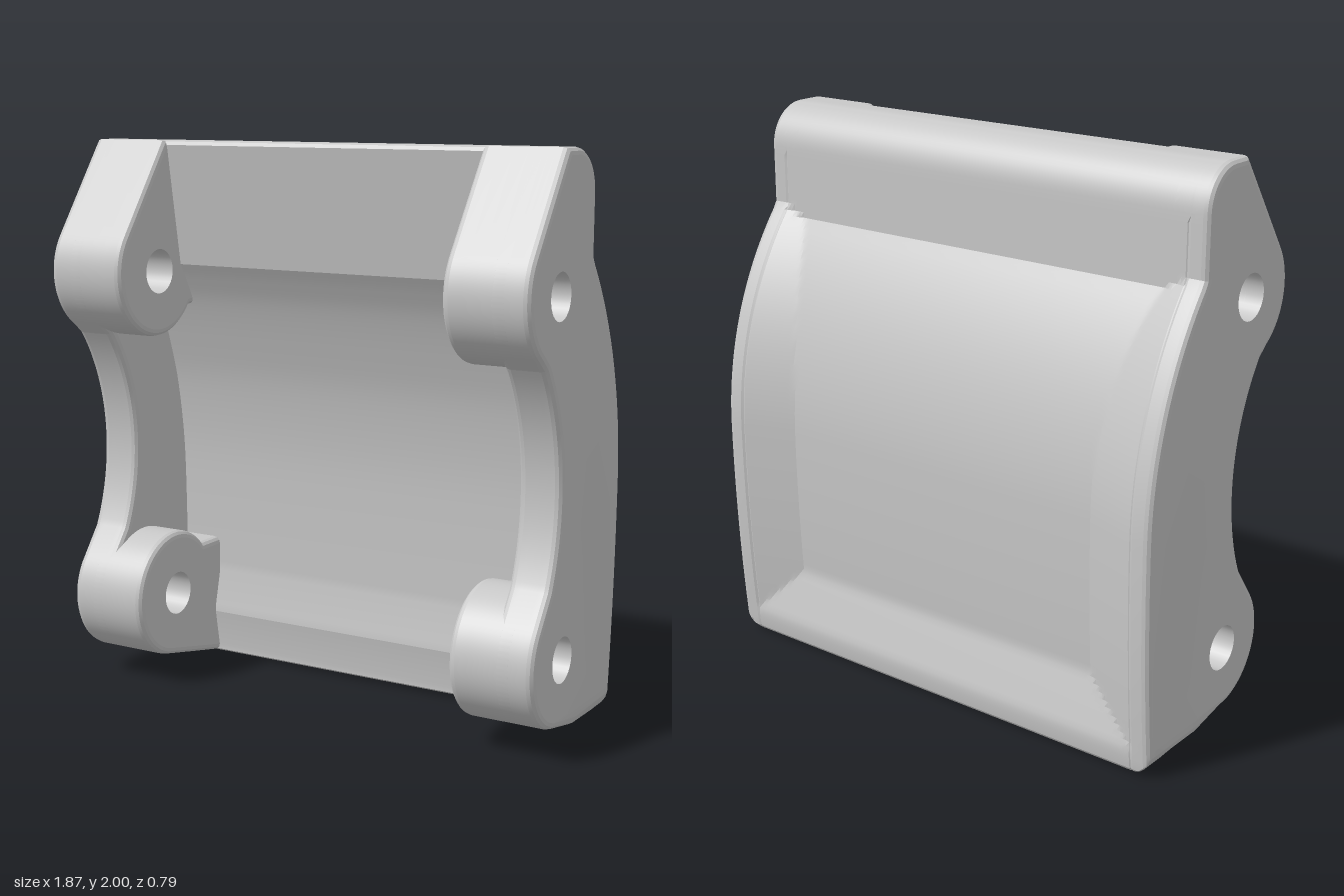
import * as THREE from 'three';
import { toCreasedNormals } from 'three/addons/utils/BufferGeometryUtils.js';

// Pin holes as [z, y]
const HOLES = [[0.165, 1.535], [0.085, 0.315]];
const HOLE_R = 0.08, LUG_R = 0.235;

// Forward-opening arc about y = 0.85: z as a function of y
const bow = (cz, r, y) => cz - Math.sqrt(r * r - (y - 0.85) ** 2);

// Rear outline of the side cheeks: z as a function of y
function outerBack(y) {
  if (y > 1.85) return 0.04 - Math.sqrt(Math.max(0, 0.0225 - (y - 1.85) ** 2));
  if (y > 0.85) return Math.min(-0.11, bow(0.86, 1.25, y));
  const z = -0.39 + 0.045 * ((0.85 - y) / 0.85) ** 2;
  return y < 0.03 ? z + 0.03 - Math.sqrt(0.0009 - (0.03 - y) ** 2) : z;
}

// Rear outline of the dished middle
function centreBack(y) {
  if (y > 1.64) return outerBack(y);
  if (y > 0.85) return Math.min(-0.11, bow(1.12, 1.44, y));
  return outerBack(y) + 0.07 * THREE.MathUtils.clamp((y - 0.09) / 0.2, 0, 1);
}

// Rear surface: the dish, walled in by slopes rising to the cheeks
function backAt(x, y) {
  const wall = Math.max(0, 0.87 - Math.abs(x)) / 3;
  return Math.min(centreBack(y), outerBack(y) + wall);
}

// Points on a circle, angles in degrees
function arc([z, y], r, a0, a1, n = 24) {
  return Array.from({ length: n + 1 }, (_, i) => {
    const a = THREE.MathUtils.degToRad(a0 + (a1 - a0) * i / n);
    return [z + r * Math.cos(a), y + r * Math.sin(a)];
  });
}

// Rear outline points from the bottom to the top
function backPoints() {
  const pts = [[outerBack(0), 0], [outerBack(0.01), 0.01]];
  for (let i = 1; i < 92; i++) {
    const y = i === 82 ? 1.645 : i * 0.02;
    pts.push([outerBack(y), y]);
  }
  return [...pts, ...arc([0.04, 1.85], 0.15, 180, 90, 14)];
}

// Extrudes a [z, y] outline between x0 and x1, then trims it to the rear surface;
// inset(|x|) sinks the trimmed face where another part covers it
function slab(outline, x0, x1, steps, bevel, holes, inset) {
  const toVec = ([z, y]) => new THREE.Vector2(-z, y);
  const shape = new THREE.Shape(outline.map(toVec));
  for (const h of holes) shape.holes.push(new THREE.Path(arc(h, HOLE_R, 0, 360, 32).slice(0, -1).map(toVec)));
  const geo = new THREE.ExtrudeGeometry(shape, {
    depth: x1 - x0 - 2 * bevel, steps, bevelEnabled: bevel > 0,
    bevelThickness: bevel, bevelSize: bevel, bevelOffset: -bevel, bevelSegments: 3,
  });
  geo.rotateY(Math.PI / 2).translate(x0 + bevel, 0, 0);
  const p = geo.attributes.position;
  for (let i = 0; i < p.count; i++) {
    const x = p.getX(i);
    let y = p.getY(i), z = p.getZ(i);
    // keep the holes straight through the bevel
    for (const [hz, hy] of holes) {
      const d = Math.hypot(z - hz, y - hy);
      if (d < 0.13) {
        z = hz + (z - hz) * HOLE_R / d;
        y = hy + (y - hy) * HOLE_R / d;
      }
    }
    // round the bottom outer corners
    const e = THREE.MathUtils.clamp(Math.abs(x) - 0.835, 0, 0.1);
    y = Math.max(y, 0.1 - Math.sqrt(Math.max(0, 0.01 - e * e)));
    if (y < 1.84) z = Math.max(z, backAt(x, y) + inset(Math.abs(x)));
    p.setXYZ(i, x, y, z);
  }
  return toCreasedNormals(geo, THREE.MathUtils.degToRad(14));
}

export function createModel() {
  const group = new THREE.Group();
  const grey = new THREE.MeshStandardMaterial({ color: 0xc8c8c8 });
  grey.name = 'plain grey';
  const add = (name, geo) => {
    const m = new THREE.Mesh(geo, grey);
    m.name = name;
    group.add(m);
  };

  // Curved panel with a dished back
  const inner = new THREE.SplineCurve([
    [0.035, 1.55], [0, 1.49], [-0.045, 1.4], [-0.1, 1.25], [-0.15, 1.08],
    [-0.185, 0.85], [-0.195, 0.6], [-0.196, 0.34],
  ].map(p => new THREE.Vector2(...p))).getPoints(36).map(p => [p.x, p.y]);
  add('backPanel', slab([
    ...backPoints(), [0.09, 2], [0.102, 1.995], [0.108, 1.983], [0.105, 1.965], ...inner,
    [-0.165, 0.21], [-0.162, 0.18], [-0.187, 0.04], [-0.187, 0.02], [-0.2, 0.011], [-0.25, 0],
  ], -0.87, 0.87, 116, 0, [], x => (x > 0.865 ? 0.01 : 0)));

  // Cheek outline with the concave front cut-out
  const cheek = [
    ...backPoints(), [0.12, 2],
    ...arc(HOLES[0], LUG_R, 35, -56),
    ...arc([0.86, 0.88], 0.74, 145, 205, 30),
    ...arc(HOLES[1], LUG_R, 40, -76),
    [-0.05, 0.044], [-0.25, 0],
  ];
  // Inner lug outlines around the pin holes
  const upperLug = [
    [0.04, 2], [0.12, 2], ...arc(HOLES[0], LUG_R, 35, -143, 40),
    [-0.1, 1.4], [-0.09, 1.6], [-0.07, 1.85], [-0.02, 1.96],
  ];
  const lowerLug = [
    [-0.25, 0.47], ...arc(HOLES[1], LUG_R, 138.7, -76, 44),
    [-0.05, 0.044], [-0.22, 0.007], [-0.27, 0.05],
  ];

  const cheekInset = x => (x < 0.85 ? 0.006 : 0), lugInset = () => 0.02;
  for (const [side, s] of [['left', 1], ['right', -1]]) {
    const span = (a, b) => (s > 0 ? [a, b] : [-b, -a]);
    add(side + 'Cheek', slab(cheek, ...span(0.78, 0.935), 5, 0.025, HOLES, cheekInset));
    add(side + 'UpperLug', slab(upperLug, ...span(0.627, 0.87), 4, 0.025, [HOLES[0]], lugInset));
    add(side + 'LowerLug', slab(lowerLug, ...span(0.627, 0.87), 4, 0.025, [HOLES[1]], lugInset));
  }
  return group;
}
